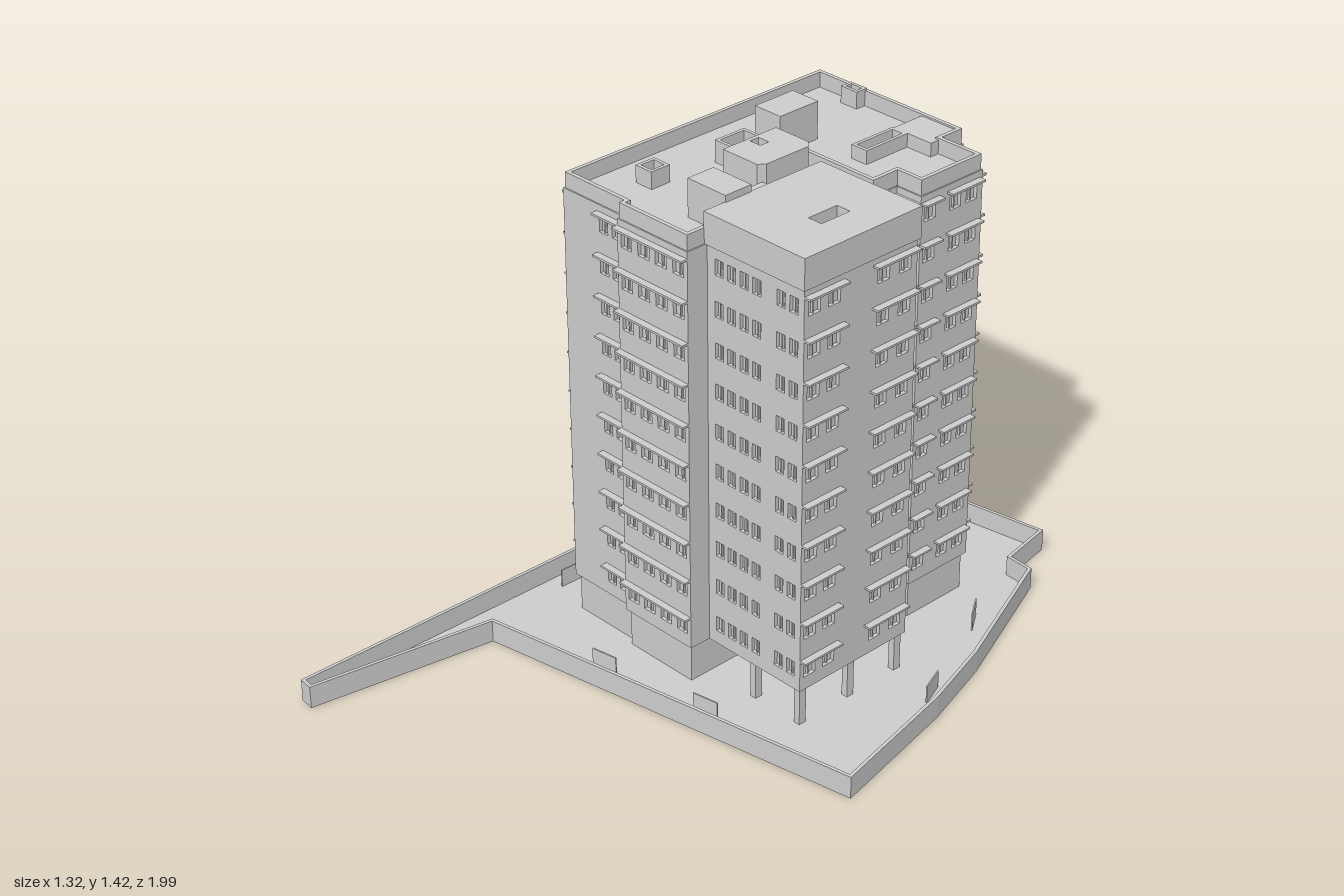
import * as THREE from 'three';

const mat = new THREE.MeshStandardMaterial({ color: 0xcccccc, flatShading: true });

// Plans are [x, z] corners, running left to right along the front, then round the right side.
const site = [[-0.52, 0.44], [0.655, 0.235], [0.57, -0.18], [0.5, -0.41], [0.33, -0.825], [0.25, -0.83],
  [0.22, -1], [-0.605, -0.87], [-0.635, -0.5], [-0.66, 0.985], [-0.615, 0.99]];
const mainPlan = [[-0.478, 0.17], [-0.25, 0.17], [-0.25, 0.188], [0.01, 0.188], [0.01, -0.28], [-0.13, -0.28],
  [-0.13, -0.365], [0.115, -0.365], [0.115, -0.455], [0.2, -0.455], [0.2, -0.69], [0.06, -0.69],
  [0.06, -0.768], [-0.478, -0.768]];
const wingPlan = [[0.01, 0.12], [0.353, 0.12], [0.353, -0.28], [0.01, -0.28]];

// Window bays by wall index: [start, end, window count, has canopy]
const mainBays = {
  0: [[0.13, 0.228, 2, 1]],
  2: [[0, 0.26, 4, 1]],
  6: [[0.1, 0.245, 2, 1]],
  7: [[0, 0.09, 1, 1]],
  8: [[0.005, 0.085, 1, 1]],
  9: [[0, 0.07, 1, 1], [0.1, 0.225, 2, 1]],
  10: [[0.005, 0.135, 2, 1]],
  12: [[0.19, 0.38, 3, 0]],
  13: [[0.065, 0.185, 2, 1], [0.23, 0.35, 2, 1], [0.385, 0.635, 4, 1], [0.77, 0.925, 2, 1]],
};
const wingBays = {
  0: [[0.02, 0.2, 4, 0], [0.24, 0.33, 2, 0]],
  1: [[0, 0.14, 2, 1], [0.24, 0.395, 2, 1]],
  2: [[0.02, 0.2, 2, 1], [0.23, 0.32, 1, 0]],
};

const BASE = 0.12, ROOF = 1.31, FLOORS = 10, STOREY = 0.1192, FIRST_CANOPY = 0.215, WALL = 0.014;

function add(parent, name, geo, x = 0, y = 0, z = 0) {
  const m = new THREE.Mesh(geo, mat);
  m.name = name;
  m.position.set(x, y, z);
  parent.add(m);
  return m;
}

// Box given by its limits
function block(parent, name, x0, x1, y0, y1, z0, z1) {
  return add(parent, name, new THREE.BoxGeometry(x1 - x0, y1 - y0, z1 - z0),
    (x0 + x1) / 2, (y0 + y1) / 2, (z0 + z1) / 2);
}

// Moves every side of a plan inward by d
function inset(plan, d) {
  const n = plan.length;
  const normal = (a, b) => {
    const l = Math.hypot(b[0] - a[0], b[1] - a[1]);
    return [-(b[1] - a[1]) / l, (b[0] - a[0]) / l];
  };
  return plan.map((p, i) => {
    const a = normal(plan[(i + n - 1) % n], p), b = normal(p, plan[(i + 1) % n]);
    const k = d / (1 + a[0] * b[0] + a[1] * b[1]);
    return [p[0] - (a[0] + b[0]) * k, p[1] - (a[1] + b[1]) * k];
  });
}

// Upright prism over a plan, optionally hollow
function prism(parent, name, plan, y0, y1, hole) {
  const pts = (q) => q.map(([x, z]) => new THREE.Vector2(x, -z));
  const shape = new THREE.Shape(pts(plan));
  if (hole) shape.holes.push(new THREE.Path(pts(hole)));
  const geo = new THREE.ExtrudeGeometry(shape, { depth: y1 - y0, bevelEnabled: false });
  return add(parent, name, geo.rotateX(-Math.PI / 2), 0, y0, 0);
}

const rect = (x0, x1, z0, z1) => [[x0, z1], [x1, z1], [x1, z0], [x0, z0]];

// Open-topped shaft
function shaft(parent, name, x0, x1, z0, z1, y1) {
  const r = rect(x0, x1, z0, z1);
  prism(parent, name, r, ROOF, y1, inset(r, 0.01));
}

// Outer walls with recessed windows and a canopy over each bay
function facade(parent, plan, bays) {
  plan.forEach((a, i) => {
    const b = plan[(i + 1) % plan.length];
    const len = Math.hypot(b[0] - a[0], b[1] - a[1]);
    const side = new THREE.Group();
    side.name = 'wallSide';
    side.position.set(a[0], 0, a[1]);
    side.rotation.y = Math.atan2(a[1] - b[1], b[0] - a[0]);
    parent.add(side);

    const shape = new THREE.Shape([[0, BASE], [len, BASE], [len, ROOF], [0, ROOF]].map((p) => new THREE.Vector2(...p)));
    for (const [s0, s1, count, canopy] of bays[i] || []) {
      const pitch = (s1 - s0) / count, w = Math.min(0.042, pitch * 0.65);
      for (let f = 0; f < FLOORS; f++) {
        const top = FIRST_CANOPY + f * STOREY;
        for (let k = 0; k < count; k++) {
          const c = s0 + (k + 0.5) * pitch;
          shape.holes.push(new THREE.Path([[c - w / 2, top - 0.055], [c - w / 2, top - 0.01],
            [c + w / 2, top - 0.01], [c + w / 2, top - 0.055]].map((p) => new THREE.Vector2(...p))));
          block(side, 'windowMullion', c - 0.002, c + 0.002, top - 0.055, top - 0.01, -0.011, -0.005);
        }
        if (canopy) block(side, 'canopy', s0, s1, top - 0.003, top + 0.003, -0.005, 0.021);
      }
    }
    const geo = new THREE.ExtrudeGeometry(shape, { depth: WALL, bevelEnabled: false });
    add(side, 'wall', geo, 0, 0, -WALL);
  });
}

export function createModel() {
  const model = new THREE.Group();
  model.name = 'apartmentTower';
  const group = (name) => {
    const g = new THREE.Group();
    g.name = name;
    model.add(g);
    return g;
  };

  // Yard and boundary wall
  const yard = group('yard');
  prism(yard, 'ground', inset(site, 0.005), 0, 0.006);
  prism(yard, 'boundaryWall', site, 0, 0.067, inset(site, 0.01));
  const panels = [[-0.23, -0.858, 0.16], [0.34, -0.575, -0.96], [0.495, -0.24, -1.2], [0.14, 0.258, 0.17],
    [-0.2, 0.313, 0.17], [-0.567, -0.53, 1.55], [-0.582, -0.19, 1.55], [-0.587, 0.09, 1.55]];
  for (const [x, z, turn] of panels) {
    add(yard, 'yardPanel', new THREE.BoxGeometry(0.08, 0.06, 0.004), x, 0.03, z).rotation.y = turn;
  }

  // Main block
  const main = group('mainBlock');
  prism(main, 'groundFloor', inset(mainPlan, 0.01), 0, BASE);
  prism(main, 'core', inset(mainPlan, WALL - 0.003), BASE, ROOF);
  facade(main, mainPlan, mainBays);
  const rim = inset(mainPlan, 0.004);
  prism(main, 'parapet', rim, ROOF, 1.355, inset(rim, 0.012));

  // Side wing raised on columns
  const wing = group('sideWing');
  prism(wing, 'core', inset(wingPlan, WALL - 0.003), BASE, ROOF);
  facade(wing, wingPlan, wingBays);
  const skylight = rect(0.21, 0.255, -0.135, -0.035);
  const roofPlan = inset(wingPlan, -0.006);
  prism(wing, 'roofBlock', roofPlan, ROOF, 1.365);
  prism(wing, 'roofCap', roofPlan, 1.365, 1.4, skylight);
  for (const x of [0.17, 0.335]) {
    for (const z of [0.1, -0.08, -0.26]) block(wing, 'column', x - 0.01, x + 0.01, 0, BASE, z - 0.012, z + 0.012);
  }
  block(wing, 'entranceCore', 0.0, 0.09, 0, BASE, -0.265, -0.08);

  // Rooftop rooms and shafts
  const roof = group('rooftop');
  block(roof, 'tankRoom', -0.325, -0.23, ROOF, 1.42, -0.51, -0.37);
  block(roof, 'stairRoom', -0.13, 0.008, ROOF, 1.42, -0.035, 0.055);
  block(roof, 'liftLobby', -0.05, 0.005, ROOF, 1.375, -0.13, -0.035);
  const liftPlan = [[-0.19, -0.125], [-0.065, -0.125], [-0.05, -0.145], [-0.05, -0.295], [-0.07, -0.315], [-0.19, -0.315]];
  prism(roof, 'liftRoom', liftPlan, ROOF, 1.385);
  prism(roof, 'liftRoomRim', liftPlan, 1.385, 1.42, [[-0.19 + 0.012, -0.21], [-0.14, -0.21], [-0.14, -0.24], [-0.178, -0.24]]);
  block(roof, 'rearRoof', -0.08, 0.055, ROOF, 1.35, -0.765, -0.645);
  shaft(roof, 'ventShaft', -0.315, -0.23, -0.32, -0.215, 1.375);
  shaft(roof, 'ventShaft', -0.37, -0.31, -0.05, 0.015, 1.36);
  shaft(roof, 'ventShaft', -0.35, -0.29, -0.76, -0.72, 1.36);
  shaft(roof, 'lightWell', -0.085, -0.03, -0.645, -0.49, 1.35);

  return model;
}
